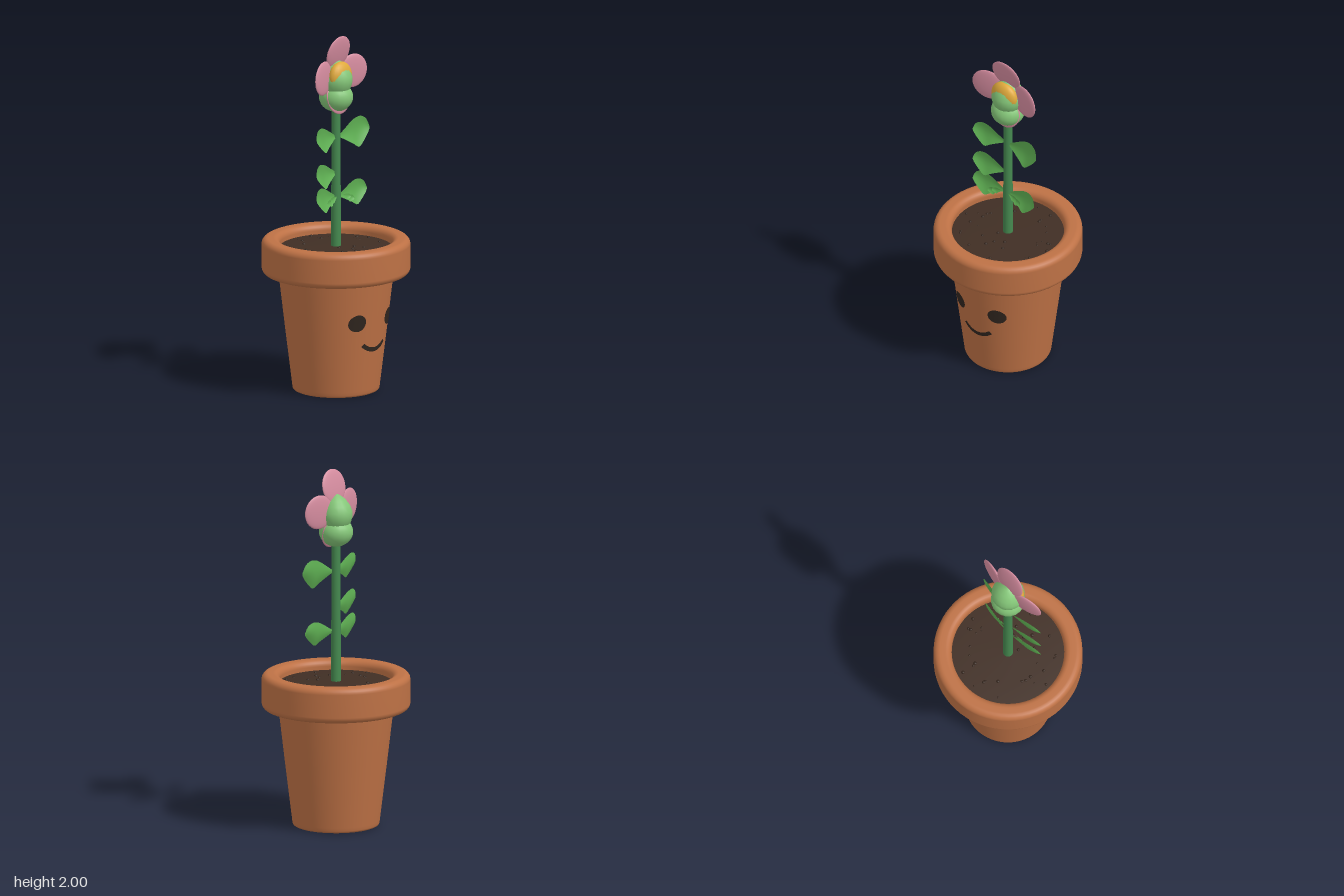
import * as THREE from 'three';

const mat = (name, color, side = THREE.FrontSide) => {
  const m = new THREE.MeshStandardMaterial({ color, side });
  m.name = name;
  return m;
};

// Radius of the tapered pot wall at height y
const wallRadius = (y) => 0.24 + (0.077 * y) / 0.655;

const lathe = (pts, segments) =>
  new THREE.LatheGeometry(pts.map(([x, y]) => new THREE.Vector2(x, y)), segments);

// Points of a rounded corner, angles in degrees
function corner(cx, cy, r, from, to, steps = 6) {
  return Array.from({ length: steps + 1 }, (_, i) => {
    const a = THREE.MathUtils.degToRad(from + ((to - from) * i) / steps);
    return [cx + r * Math.cos(a), cy + r * Math.sin(a)];
  });
}

// Bends a flat face detail onto the front of the pot
function wrapOnPot(geo, cx, cy) {
  const p = geo.attributes.position;
  for (let i = 0; i < p.count; i++) {
    const x = p.getX(i) + cx, y = p.getY(i) + cy;
    const r = wallRadius(y) + 0.003;
    p.setXYZ(i, x, y, Math.sqrt(r * r - x * x));
  }
  geo.computeVertexNormals();
  return geo;
}

// Curved paddle leaf growing towards +x; each section is [x, top, bottom]
const leafSections = [
  [0.015, 0.006, -0.006], [0.06, 0.035, -0.03], [0.105, 0.064, -0.056], [0.14, 0.08, -0.078],
  [0.175, 0.084, -0.052], [0.2, 0.073, -0.026], [0.215, 0.056, -0.008], [0.226, 0.022, 0.01],
];
function leafGeometry() {
  const top = new THREE.CatmullRomCurve3(leafSections.map(([x, t]) => new THREE.Vector3(x, t, 0)));
  const low = new THREE.CatmullRomCurve3(leafSections.map(([x, , b]) => new THREE.Vector3(x, b, 0)));
  const nu = 20, nv = 6;
  const geo = new THREE.PlaneGeometry(1, 1, nu, nv);
  const p = geo.attributes.position;
  for (let i = 0; i < p.count; i++) {
    const u = p.getX(i) + 0.5, v = 0.5 - p.getY(i);
    const q = top.getPoint(u).lerp(low.getPoint(u), v);
    // the lower edge hangs forward and the blade is slightly cupped
    const z = 0.008 + 0.17 * q.x - 0.16 * q.y - 0.014 * Math.sin(Math.PI * v) * Math.sin(Math.PI * u);
    p.setXYZ(i, q.x, q.y, z);
  }
  geo.computeVertexNormals();
  return geo;
}

export function createModel() {
  const model = new THREE.Group();
  model.name = 'pottedFlower';
  const clay = mat('terracotta', 0xbd7145);
  const soilMat = mat('soil', 0x402e24);
  const crumbMat = mat('darkSoil', 0x35261d);
  const faceMat = mat('faceDark', 0x30261f);
  const stemMat = mat('stemGreen', 0x45894f);
  const leafMat = mat('leafGreen', 0x5fb053, THREE.DoubleSide);
  const budMat = mat('budGreen', 0x84c678);
  const petalMat = mat('petalPink', 0xd58c9f);
  const yellow = mat('centreYellow', 0xdfa93c);

  const add = (name, geo, material, parent = model) => {
    const m = new THREE.Mesh(geo, material);
    m.name = name;
    parent.add(m);
    return m;
  };

  // Pot body and rounded rim
  add('potBody', lathe([
    [0, 0], [0.222, 0], [0.228, 0], [0.236, 0.004], [0.24, 0.012], [0.242, 0.03],
    [wallRadius(0.35), 0.35], [wallRadius(0.67), 0.67],
  ], 64), clay);
  add('potRim', lathe([
    [0.3, 0.655], [0.34, 0.655],
    ...corner(0.375, 0.69, 0.035, -90, 0),
    ...corner(0.375, 0.82, 0.035, 0, 90),
    ...corner(0.345, 0.82, 0.035, 90, 180),
    [0.31, 0.78],
  ], 64), clay);

  // Soil with loose crumbs
  add('soil', lathe([[0.315, 0.8], [0.2, 0.807], [0, 0.81]], 48), soilMat);
  let seed = 11;
  const rand = () => (seed = (seed * 16807) % 2147483647) / 2147483647;
  const crumbs = new THREE.Group();
  crumbs.name = 'soilCrumbs';
  model.add(crumbs);
  for (let i = 0; i < 36; i++) {
    const a = i * 2.4 + rand() * 0.6, d = 0.05 + 0.23 * Math.sqrt(rand());
    const c = add('crumb', new THREE.SphereGeometry(0.005 + 0.007 * rand(), 8, 6), crumbMat, crumbs);
    c.position.set(d * Math.cos(a), 0.81 - 0.03 * d, d * Math.sin(a));
  }

  // Smiling face
  for (const s of [-1, 1]) {
    add(s > 0 ? 'leftEye' : 'rightEye',
      wrapOnPot(new THREE.RingGeometry(0, 0.048, 32, 4), s * 0.128, 0.43), faceMat);
  }
  add('smile', wrapOnPot(
    new THREE.RingGeometry(0.109, 0.133, 32, 2, Math.PI * 1.25, Math.PI * 0.5), 0, 0.386), faceMat);

  // Stem
  const stem = add('stem', new THREE.CylinderGeometry(0.024, 0.028, 0.8, 16), stemMat);
  stem.position.y = 1.2;

  // Leaves: [side, height, size]
  const blade = leafGeometry();
  const leaves = [
    [1, 1.428, 1.03], [-1, 1.43, 0.95], [-1, 1.225, 0.95], [1, 1.09, 0.95], [-1, 1.09, 0.95],
  ];
  for (const [side, y, size] of leaves) {
    const leaf = add('leaf', blade, leafMat);
    leaf.position.y = y;
    leaf.scale.set(side * size, size * (y > 1.4 && side < 0 ? 0.9 : 0.9 + 0.1 * (y > 1.4)), size);
  }
  // Small inner leaflets beside the lowest pair
  for (const side of [-1, 1]) {
    [[0.02, 1.095, 0.3], [0.035, 1.085, 0.36]].forEach(([x, y, size]) => {
      const leaf = add('leaflet', blade, leafMat);
      leaf.position.set(side * x, y, 0.022);
      leaf.rotation.z = -side * 0.35;
      leaf.scale.set(side * size, size * 0.7, size);
    });
  }

  // Bud: flattened ball with a pointed bulb on top
  const base = add('budBase', new THREE.SphereGeometry(0.095, 20, 14), budMat);
  base.position.y = 1.652;
  base.scale.y = 0.87;
  add('budTip', lathe([
    [0, 1.66], [0.06, 1.675], [0.082, 1.705], [0.092, 1.74], [0.09, 1.77], [0.077, 1.803],
    [0.054, 1.833], [0.026, 1.855], [0, 1.868],
  ], 18), budMat);
  const centre = add('flowerCentre', new THREE.SphereGeometry(1, 24, 16), yellow);
  centre.position.set(0, 1.77, 0.03);
  centre.scale.set(0.085, 0.085, 0.046);

  // Four petals, each tilted forward at its outer end
  const petals = new THREE.Group();
  petals.name = 'petals';
  petals.position.y = 1.78;
  model.add(petals);
  for (let i = 0; i < 4; i++) {
    const spoke = new THREE.Group();
    spoke.name = 'petalArm';
    spoke.rotation.z = (i * Math.PI) / 2;
    petals.add(spoke);
    const petal = add('petal', new THREE.SphereGeometry(1, 28, 16), petalMat, spoke);
    petal.position.set(0, 0.125, 0.016);
    petal.rotation.x = 0.22;
    petal.scale.set(0.095, 0.097, 0.015);
  }
  return model;
}
